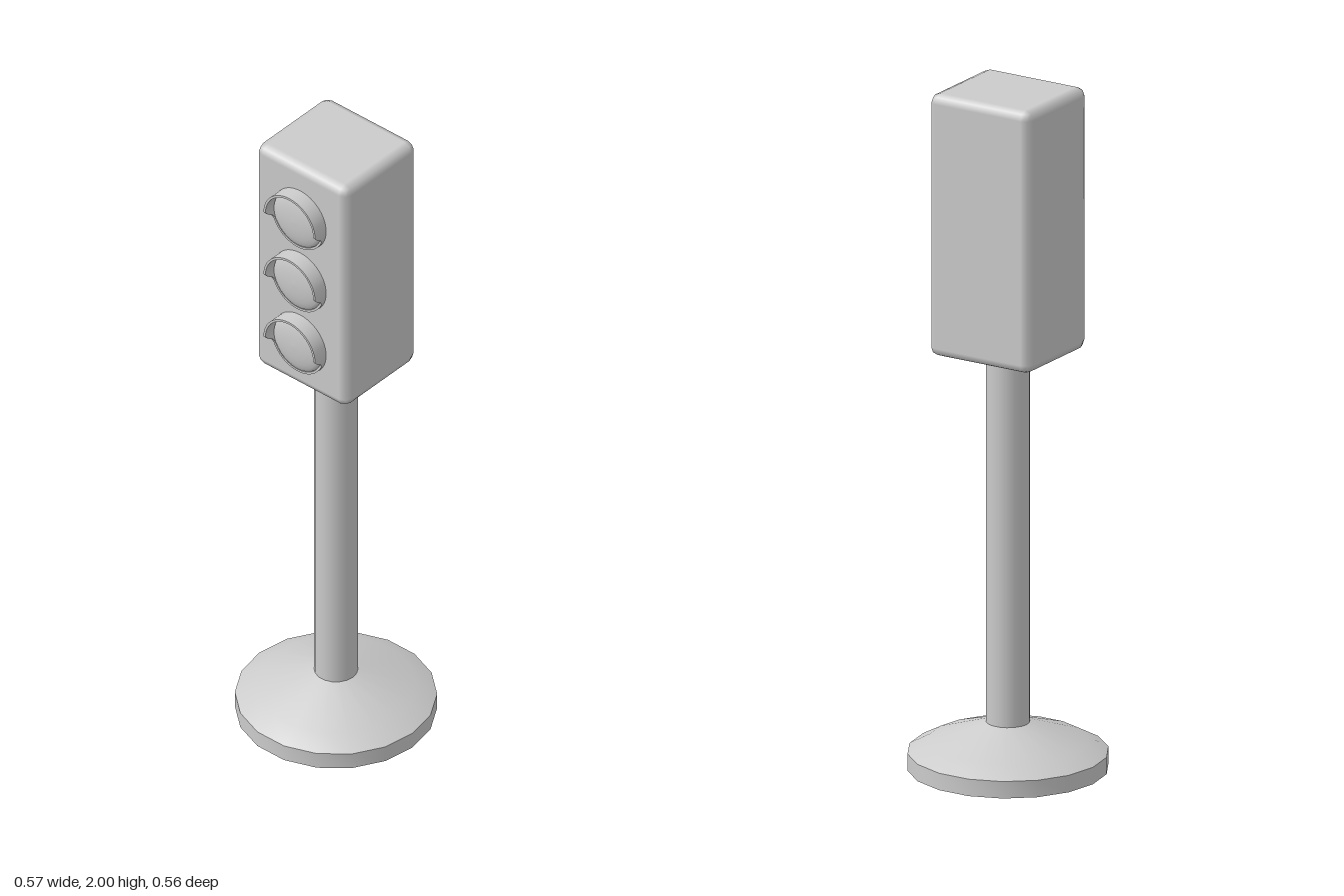
import * as THREE from 'three';
import { toCreasedNormals } from 'three/addons/utils/BufferGeometryUtils.js';
import { RoundedBoxGeometry } from 'three/addons/geometries/RoundedBoxGeometry.js';

const solid = new THREE.MeshStandardMaterial({ color: 0xcccccc });
const thin = new THREE.MeshStandardMaterial({ color: 0xcccccc, side: THREE.DoubleSide });

function part(name, geometry, material = solid) {
  const mesh = new THREE.Mesh(geometry, material);
  mesh.name = name;
  return mesh;
}

const lathe = (points, sides, start = 0) =>
  new THREE.LatheGeometry(points.map(([r, y]) => new THREE.Vector2(r, y)), sides, start);

// Collar around a lens: deep visor over the upper half, sweeping down to a shallow rim below
function visorGeometry() {
  const outer = 0.096, inner = 0.089, rim = 0.017, reach = 0.052;
  const geo = lathe([[outer, 0], [outer, 1], [inner, 1], [inner, 0]], 48);
  geo.rotateX(Math.PI / 2);
  const pos = geo.attributes.position;
  for (let i = 0; i < pos.count; i++) {
    const height = pos.getY(i) / Math.hypot(pos.getX(i), pos.getY(i));
    const depth = rim + (reach - rim) * THREE.MathUtils.smoothstep(height, -0.35, 0);
    pos.setZ(i, pos.getZ(i) * depth);
  }
  return toCreasedNormals(geo, 0.7);
}

// Domed lens with a short cylindrical edge
function lensGeometry() {
  const points = [[0.09, 0], [0.09, 0.012]];
  for (let i = 1; i <= 6; i++) {
    const a = (i / 6) * Math.PI / 2;
    points.push([0.09 * Math.cos(a), 0.012 + 0.022 * Math.sin(a)]);
  }
  return lathe(points, 32).rotateX(Math.PI / 2);
}

export function createModel() {
  const model = new THREE.Group();
  model.name = 'trafficLight';

  // Hollow foot, open underneath
  const foot = lathe([[0.284, 0], [0.284, 0.05], [0.225, 0.082], [0.06, 0.137]], 18, Math.PI / 2);
  model.add(part('base', toCreasedNormals(foot, 0.6), thin));

  // Open tube
  const pole = new THREE.CylinderGeometry(0.062, 0.062, 1.11, 18, 1, true);
  pole.rotateY(Math.PI / 2).translate(0, 0.13 + 0.555, 0);
  model.add(part('pole', pole, thin));

  // Signal housing
  const housing = new RoundedBoxGeometry(0.338, 0.775, 0.308, 1, 0.027);
  model.add(part('housing', housing.translate(0, 1.6125, -0.001)));

  // Three lamps on the front
  const lens = lensGeometry(), visor = visorGeometry();
  ['top', 'middle', 'bottom'].forEach((level, i) => {
    const lamp = new THREE.Group();
    lamp.name = `${level}Lamp`;
    lamp.add(part('lens', lens), part('visor', visor, thin));
    lamp.position.set(0, 1.823 - i * 0.22, 0.148);
    model.add(lamp);
  });

  return model;
}
